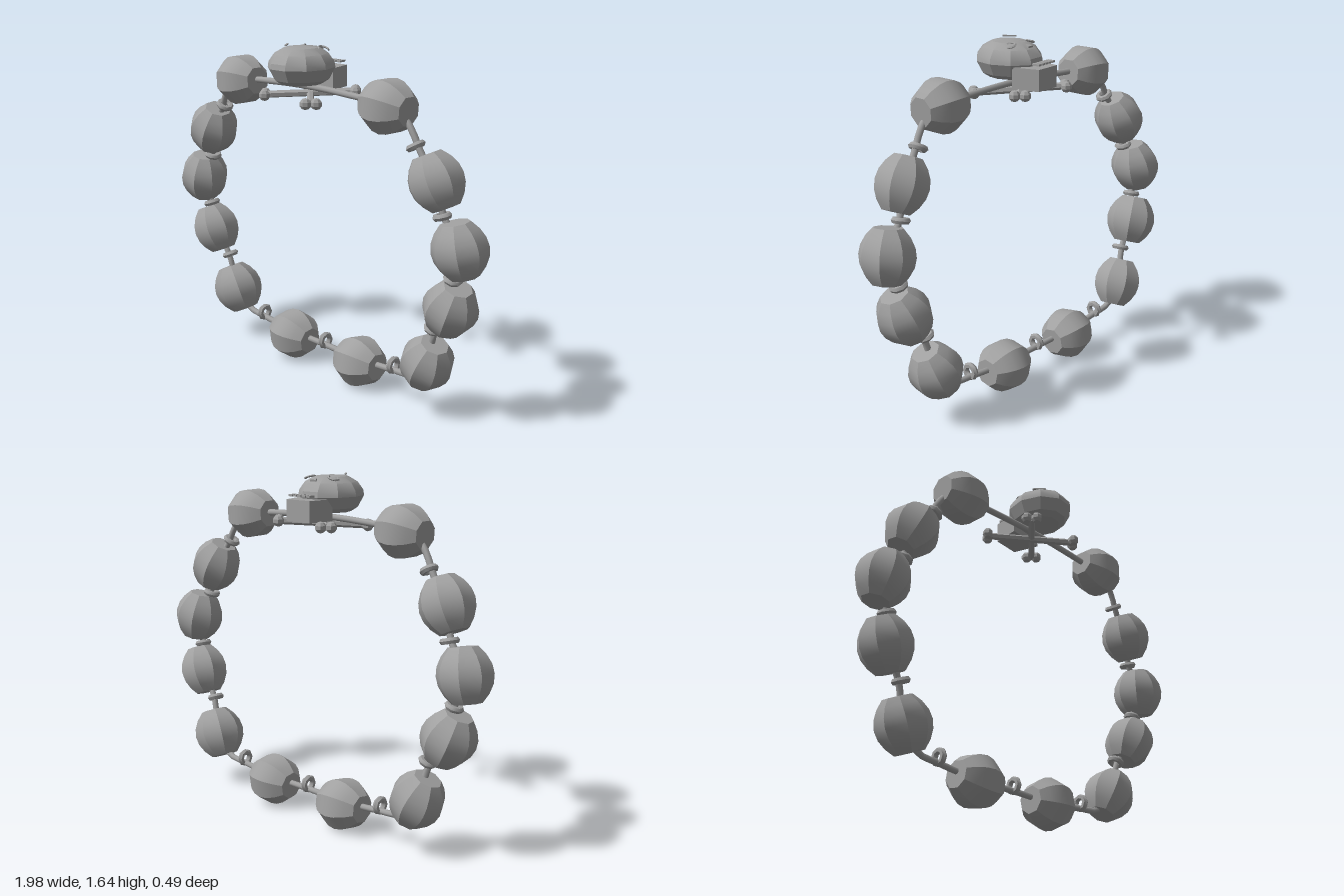
import * as THREE from 'three';
import { toCreasedNormals } from 'three/addons/utils/BufferGeometryUtils.js';

const UP = new THREE.Vector3(0, 1, 0);
// The loop lies in a slightly tilted plane
const onLoop = (x, y) => new THREE.Vector3(x, y, 0.087 * x + 0.09 * y - 0.102);

export function createModel() {
  const model = new THREE.Group();
  const metal = new THREE.MeshStandardMaterial({ color: 0xa0a0a0 });

  function add(parent, name, geometry, position, crease = 0.5) {
    const mesh = new THREE.Mesh(toCreasedNormals(geometry, crease), metal);
    mesh.name = name;
    if (position) mesh.position.copy(position);
    parent.add(mesh);
    return mesh;
  }
  const aim = (mesh, dir, from = UP) =>
    mesh.quaternion.setFromUnitVectors(from, dir.clone().normalize());

  // String: right half, then mirrored back up the left
  const half = [[0, 1.455], [0.22, 1.45], [0.487, 1.43], [0.575, 1.4], [0.63, 1.33], [0.665, 1.26],
    [0.745, 1.145], [0.785, 1.0], [0.865, 0.865], [0.83, 0.72], [0.81, 0.58], [0.725, 0.45],
    [0.67, 0.27], [0.58, 0.175], [0.46, 0.158], [0.235, 0.14], [0, 0.14]];
  const points = [...half, ...half.slice(1, -1).reverse().map(([x, y]) => [-x, y])];
  const path = new THREE.CatmullRomCurve3(points.map(([x, y]) => onLoop(x, y)), true);
  add(model, 'string', new THREE.TubeGeometry(path, 120, 0.015, 8, true), null, 1);

  // Beads: faceted barrels, smooth along their length
  const profile = [[0, -0.12], [0.066, -0.12], [0.098, -0.083], [0.119, -0.042], [0.126, 0],
    [0.119, 0.042], [0.098, 0.083], [0.066, 0.12], [0, 0.12]].map(p => new THREE.Vector2(...p));
  const beadGeometry = new THREE.LatheGeometry(profile, 8);
  // x, y, then direction of the hole
  const beads = [[0.487, 1.43, 1, -0.06], [0.75, 1.145, 0.13, -0.28], [0.871, 0.865, 0.055, -0.28],
    [0.814, 0.58, -0.11, -0.27], [0.67, 0.27, -0.12, -0.26], [0.235, 0.13, -1, -0.04]];
  // Spacer rings: the lower ones hang slightly inside the string
  const rings = [[0.64, 1.28, 0.5, -0.85], [0.778, 0.995, 0.25, -0.9], [0.83, 0.72, -0.3, -0.9],
    [0.712, 0.452, -0.38, -0.9], [0.46, 0.184, -1, 0], [0, 0.165, -1, 0]];
  const ringGeometry = new THREE.TorusGeometry(0.03, 0.015, 6, 8);
  const Z = new THREE.Vector3(0, 0, 1);
  for (const s of [1, -1]) {
    const dir = (dx, dy) => new THREE.Vector3(s * dx, dy, 0.087 * s * dx + 0.09 * dy);
    beads.forEach(([x, y, dx, dy], i) => {
      const bead = add(model, 'bead', beadGeometry, onLoop(s * x, y), 0.6);
      aim(bead, dir(dx, dy));
      bead.rotateY(0.3 + i * 0.35);
    });
    for (const [x, y, dx, dy] of rings) {
      if (x === 0 && s < 0) continue;
      aim(add(model, 'spacerRing', ringGeometry, onLoop(s * x, y), 0.9), dir(dx, dy), Z);
    }
  }

  // Skull charm lying flat, with its face upward and jaw to the back
  const skull = new THREE.Group();
  skull.name = 'skullCharm';
  model.add(skull);
  const domeProfile = [[0, 1.475], [0.09, 1.475], [0.12, 1.495], [0.147, 1.55], [0.143, 1.575],
    [0.118, 1.612], [0.075, 1.638], [0, 1.645]].map(p => new THREE.Vector2(...p));
  const dome = new THREE.LatheGeometry(domeProfile, 10);
  dome.rotateY(Math.PI / 10);
  dome.scale(1, 1, 1.12);
  add(skull, 'cranium', dome, new THREE.Vector3(-0.006, 0, 0.075), 0.45);

  // Jaw narrowing to the back
  const jaw = new THREE.BoxGeometry(0.19, 0.1, 0.13);
  const jp = jaw.attributes.position;
  for (let i = 0; i < jp.count; i++) if (jp.getZ(i) < 0) jp.setX(i, jp.getX(i) * 0.72);
  add(skull, 'jaw', jaw, new THREE.Vector3(0.005, 1.492, -0.085));

  // Teeth
  for (let i = -2; i <= 2; i++) {
    add(skull, 'tooth', new THREE.BoxGeometry(0.02, 0.009, 0.038),
      new THREE.Vector3(0.005 + i * 0.026, 1.56, -0.125));
  }

  // Eyes, nose and crack as thin raised marks
  for (const s of [-1, 1]) {
    const eye = new THREE.TorusGeometry(0.024, 0.005, 4, 10, 4.6);
    eye.rotateX(-Math.PI / 2);
    const mesh = add(skull, 'eye', eye, new THREE.Vector3(s * 0.07, 1.633, 0.012));
    mesh.rotation.z = -s * 0.3;
  }
  const nose = add(skull, 'nose', new THREE.CylinderGeometry(0.02, 0.02, 0.009, 3),
    new THREE.Vector3(0, 1.625, -0.04));
  nose.rotation.x = -0.2;
  const crack = add(skull, 'crack', new THREE.BoxGeometry(0.009, 0.006, 0.065),
    new THREE.Vector3(-0.06, 1.648, 0.115));
  crack.rotation.y = 0.6;

  // Crossed bones with paired knobs
  const bones = [[[-0.15, 1.43, -0.14], [0.138, 1.41, 0.172]], [[0.16, 1.435, -0.108], [-0.165, 1.415, 0.15]]];
  for (const ends of bones) {
    const [a, b] = ends.map(p => new THREE.Vector3(...p));
    const along = b.clone().sub(a);
    const shaft = new THREE.CylinderGeometry(0.017, 0.017, along.length(), 6);
    aim(add(skull, 'boneShaft', shaft, a.clone().lerp(b, 0.5), 0.6), along);
    const side = new THREE.Vector3(-along.z, 0, along.x).normalize().multiplyScalar(0.024);
    for (const end of [a, b]) for (const s of [-1, 1]) {
      add(skull, 'boneKnob', new THREE.SphereGeometry(0.027, 7, 5), end.clone().addScaledVector(side, s));
    }
  }
  return model;
}
